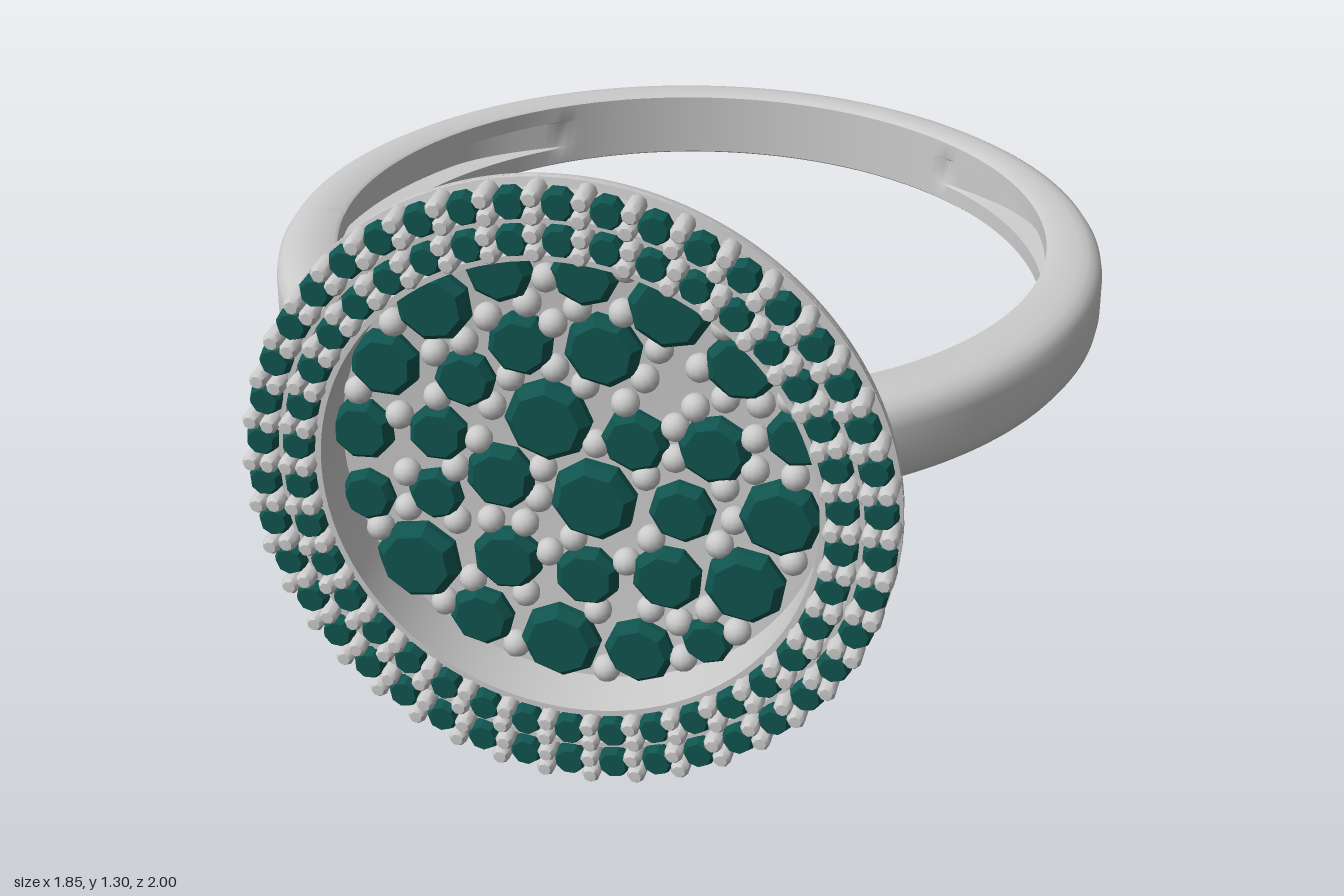
import * as THREE from 'three';
import { mergeGeometries, toCreasedNormals } from 'three/addons/utils/BufferGeometryUtils.js';

const CY = 0.657; // height of the ring axis plane and of the head centre
const metal = new THREE.MeshStandardMaterial({ color: 0xcccccc });
const gem = new THREE.MeshStandardMaterial({ color: 0x10544f });

// Stones of the central field: x, y, radius in hundredths, from the head centre
const FIELD = [
  [-15, 42, 6.5], [2, 43, 6.5], [18.5, 37.5, 8], [-28.5, 33, 7.5], [32.5, 27, 7], [-39, 19, 7],
  [-11.5, 26, 6.5], [5, 26.5, 7.5], [-23, 17, 6], [-6.5, 9.5, 8.5], [11, 7, 6.5], [27, 7.5, 7],
  [43.5, 13, 6], [-44.5, 3.5, 6.5], [-29, 4, 6], [-16.5, -4.5, 7], [2.5, -7.5, 8.5], [20.5, -7.5, 6.5],
  [40.5, -5.5, 8], [-44, -11.5, 5.5], [-30, -10, 5.5], [-34, -25.5, 8.5], [-15.5, -23, 7], [1, -25, 6.5],
  [17.5, -23, 7], [33.5, -22, 8], [-21, -37, 6.5], [-4.5, -40.5, 8], [12, -40.5, 7], [26, -36, 5],
].map(s => s.map(v => v / 100));

// Rows of small stones around the rim: radius of the row, number of stones
const ROWS = [[0.617, 42], [0.543, 38]];

const { smoothstep, lerp } = THREE.MathUtils;

// Front surface of the recessed, slightly dished floor
const floorZ = (x, y) => 0.82 + 0.1 * (x * x + y * y);

function addMesh(group, name, geometry, material) {
  const mesh = new THREE.Mesh(geometry, material);
  mesh.name = name;
  group.add(mesh);
}

// Lathe turned so that its axis points to the front
function frontLathe(points, segments) {
  return new THREE.LatheGeometry(points.map(p => new THREE.Vector2(p[0], p[1])), segments).rotateX(Math.PI / 2);
}

// Band: a rounded section swept round, thicker and taller at the front, hollowed inside
function bandGeometry() {
  const N = 240;
  const section = k => {
    const corner = [[1, 0.42], [0.97, 0.66], [0.88, 0.85], [0.74, 0.96], [0.56, 1], [0.06, 1], [0, 0.94], [0, 0.45], [0.45 * k, 0.4]];
    return [...corner.map(([t, s]) => [t, -s]), ...corner.reverse()];
  };
  const M = section(1).length, pos = [], idx = [];
  for (let i = 0; i < N; i++) {
    const a = (i / N) * Math.PI * 2;
    const fromBack = Math.abs(Math.PI - a);
    const k = i === 0 ? 0 : smoothstep(fromBack, 0.6, 1.0);
    const half = lerp(0.078, 0.099, (1 - Math.cos(fromBack)) / 2);
    section(k).forEach(([t, s], j) => {
      const r = lerp(0.797, 0.925, t);
      // the front is cut flat where it joins the head
      const z = Math.min(0.8, r * Math.cos(a) + lerp(-0.1, -0.075, t));
      pos.push(r * Math.sin(a), CY + s * half, z);
      const i2 = (i + 1) % N, j2 = (j + 1) % M;
      const A = i * M + j, B = i * M + j2, C = i2 * M + j2, D = i2 * M + j;
      idx.push(A, B, D, B, C, D);
    });
  }
  const g = new THREE.BufferGeometry();
  g.setAttribute('position', new THREE.Float32BufferAttribute(pos, 3));
  g.setIndex(idx);
  return toCreasedNormals(g, 0.7);
}

// Domed back with a pit behind each stone, trailing off toward the centre
function domeGeometry() {
  const R = 0.652, points = [];
  for (let i = 0; i <= 60; i++) {
    const a = (i / 60) * Math.PI / 2;
    points.push([R * Math.sin(a), 0.92 - 0.175 * Math.cos(a)]);
  }
  const g = frontLathe(points, 180);
  const p = g.attributes.position;
  for (let i = 0; i < p.count; i++) {
    const x = p.getX(i), y = p.getY(i);
    let pit = 0;
    for (const [sx, sy] of FIELD) {
      const r = Math.hypot(sx, sy);
      const cx = sx / r, cy = sy / r;
      const u = x * cx + y * cy - r, v = y * cx - x * cy;
      const hole = 0.042 * (1 - smoothstep(Math.hypot(u / 0.035, v / 0.027), 0.6, 1.2));
      const tail = u < 0 ? 0.016 * Math.max(0, 1 + u / 0.15) * Math.exp(-((v / 0.024) ** 2)) : 0;
      pit = Math.max(pit, hole, tail);
    }
    p.setZ(i, p.getZ(i) + pit);
  }
  return toCreasedNormals(g, 0.7);
}

// Faceted stone of unit radius with its table to the front
function stoneGeometry() {
  const g = frontLathe([[0, -0.35], [1, -0.1], [1, 0.1], [0.78, 0.35], [0, 0.35]], 8).toNonIndexed();
  g.computeVertexNormals();
  return g;
}

// Bead positions in the gaps of the field, the snuggest gaps first
function beadSpots() {
  const spots = [], beads = [];
  for (let x = -0.47; x <= 0.47; x += 0.01) {
    for (let y = -0.47; y <= 0.47; y += 0.01) {
      const gap = Math.min(...FIELD.map(([sx, sy, r]) => Math.hypot(x - sx, y - sy) - r));
      if (Math.hypot(x, y) < 0.47 && gap > 0.017) spots.push([x, y, gap]);
    }
  }
  spots.sort((a, b) => a[2] - b[2]);
  for (const s of spots) {
    if (beads.every(b => Math.hypot(s[0] - b[0], s[1] - b[1]) > 0.062)) beads.push(s);
  }
  return beads;
}

export function createModel() {
  const model = new THREE.Group();
  model.name = 'clusterRing';
  addMesh(model, 'band', bandGeometry(), metal);

  const head = new THREE.Group();
  head.name = 'head';
  head.position.y = CY;
  model.add(head);
  addMesh(head, 'domedBack', domeGeometry(), metal);

  // Front plate: lip, rim seat with a ridge between the rows, deep wall and dished floor
  const plate = frontLathe([
    [0.652, 0.92], [0.652, 0.928], [0.634, 0.932], [0.634, 0.952], [0.588, 0.952], [0.586, 0.965],
    [0.575, 0.965], [0.573, 0.952], [0.512, 0.952], [0.51, 0.965], [0.498, 0.965], [0.496, 0.845],
    [0.36, 0.833], [0.2, 0.824], [0, 0.82],
  ], 96);
  addMesh(head, 'frontPlate', toCreasedNormals(plate, 0.5), metal);

  // Central stones
  const stone = stoneGeometry();
  const fieldStones = FIELD.map(([x, y, r], i) =>
    stone.clone().scale(r * 1.04, r * 1.04, r).rotateZ(i * 0.7).translate(x, y, floorZ(x, y) + 0.025));
  addMesh(head, 'fieldStones', mergeGeometries(fieldStones), gem);

  // Beads packed between the central stones
  const bead = new THREE.SphereGeometry(0.029, 12, 8);
  const fieldBeads = beadSpots().map(([x, y]) => bead.clone().translate(x, y, floorZ(x, y) + 0.022));
  addMesh(head, 'fieldBeads', mergeGeometries(fieldBeads), metal);

  // Rim rows: stones with a pair of blunt prongs between neighbours
  const prong = toCreasedNormals(
    frontLathe([[0.019, 0.935], [0.019, 0.99], [0.013, 0.999], [0, 1]], 8), 0.9);
  const rimStones = [], prongs = [];
  for (const [radius, count] of ROWS) {
    for (let i = 0; i < count; i++) {
      const a = (i / count) * Math.PI * 2, b = a + Math.PI / count;
      rimStones.push(stone.clone().scale(0.035, 0.035, 0.06).rotateZ(Math.PI / 8)
        .translate(0, radius, 0.963).rotateZ(a));
      for (const d of [-0.018, 0.018]) prongs.push(prong.clone().translate(0, radius + d, 0).rotateZ(b));
    }
  }
  addMesh(head, 'rimStones', mergeGeometries(rimStones), gem);
  addMesh(head, 'rimProngs', mergeGeometries(prongs), metal);

  return model;
}
